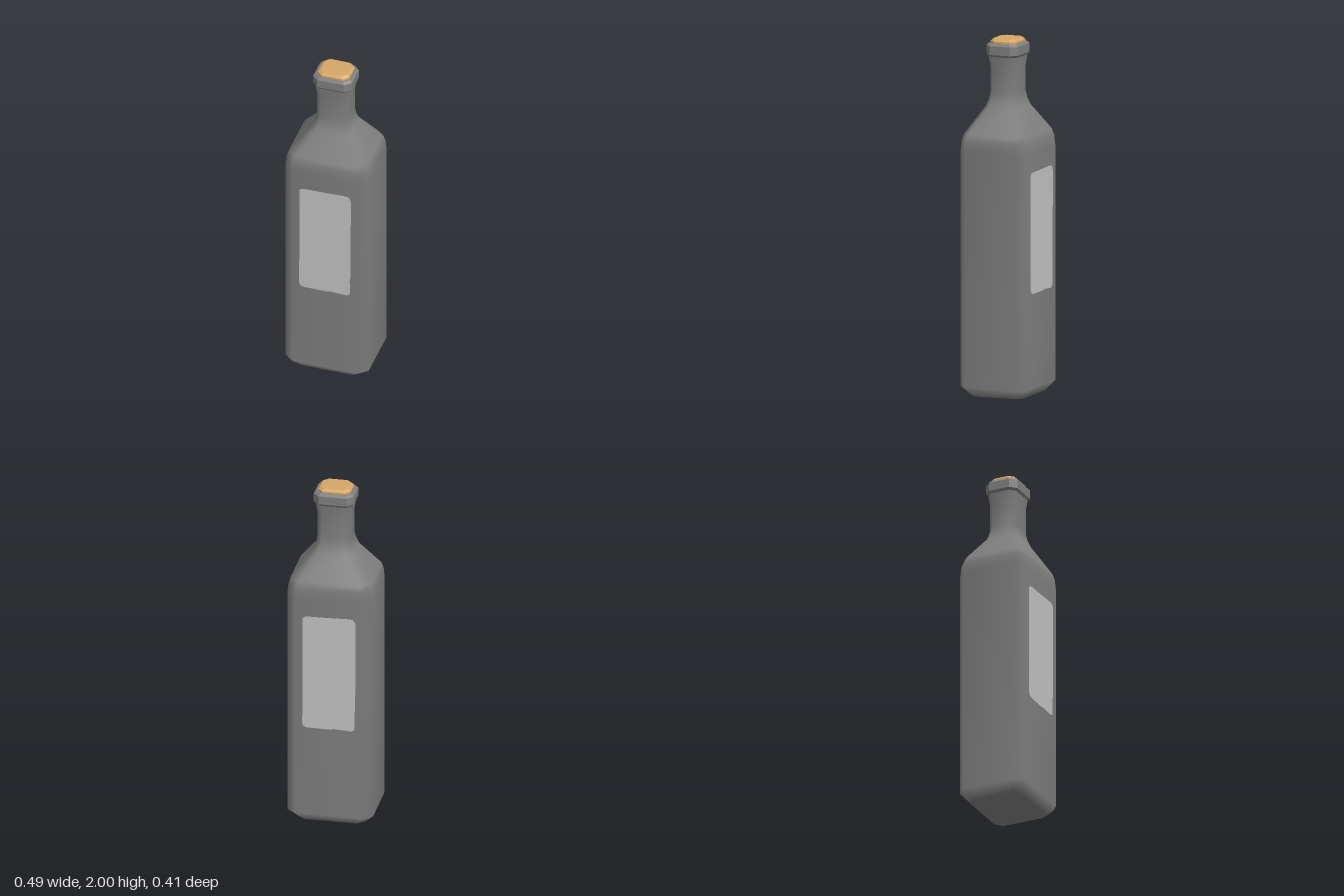
import * as THREE from 'three';

// Stacks chamfered rectangles [y, halfWidth, halfDepth, chamferX, chamferZ] into a closed solid
function loft(sections, flat) {
  const pos = [], index = [], n = 8, last = sections.length - 1;
  for (const [y, w, d, cx, cz] of sections) {
    const ring = [[w - cx, d], [w, d - cz], [w, cz - d], [w - cx, -d],
      [cx - w, -d], [-w, cz - d], [-w, d - cz], [cx - w, d]];
    for (const [x, z] of ring) pos.push(x, y, z);
  }
  for (let i = 0; i < last; i++) {
    for (let j = 0; j < n; j++) {
      const a = i * n + j, b = i * n + (j + 1) % n;
      index.push(a, b, b + n, a, b + n, a + n);
    }
  }
  // End caps
  for (let j = 1; j < n - 1; j++) {
    index.push(0, j + 1, j);
    index.push(last * n, last * n + j, last * n + j + 1);
  }
  let geo = new THREE.BufferGeometry();
  geo.setAttribute('position', new THREE.Float32BufferAttribute(pos, 3));
  geo.setIndex(index);
  if (flat) geo = geo.toNonIndexed();
  geo.computeVertexNormals();
  return geo;
}

// Slightly uneven paper outline with rounded corners
function labelShape() {
  const s = new THREE.Shape();
  s.moveTo(-0.15, 0.62);
  s.quadraticCurveTo(-0.15, 0.59, -0.12, 0.588);
  s.lineTo(0.01, 0.586);
  s.lineTo(0.03, 0.592);
  s.lineTo(0.12, 0.586);
  s.quadraticCurveTo(0.147, 0.586, 0.147, 0.612);
  s.lineTo(0.146, 0.69);
  s.lineTo(0.15, 0.72);
  s.lineTo(0.153, 1.24);
  s.quadraticCurveTo(0.15, 1.273, 0.12, 1.275);
  s.lineTo(-0.03, 1.271);
  s.lineTo(-0.12, 1.27);
  s.quadraticCurveTo(-0.147, 1.268, -0.148, 1.25);
  s.lineTo(-0.147, 0.85);
  s.closePath();
  return s;
}

export function createModel() {
  const model = new THREE.Group();
  const material = (name, color) => {
    const m = new THREE.MeshStandardMaterial({ color });
    m.name = name;
    return m;
  };
  const glass = material('grey glass', 0x808080);
  const paper = material('pale paper', 0xc4c4c4);
  const corkTan = material('cork tan', 0xd6a767);
  const add = (name, geo, mat) => {
    const mesh = new THREE.Mesh(geo, mat);
    mesh.name = name;
    model.add(mesh);
    return mesh;
  };

  // Square-sided body, sloping shoulders and neck
  add('bottleBody', loft([
    [0, 0.19, 0.157, 0.04, 0.034],
    [0.055, 0.243, 0.203, 0.052, 0.043],
    [1.38, 0.243, 0.203, 0.052, 0.043],
    [1.44, 0.238, 0.198, 0.052, 0.043],
    [1.475, 0.228, 0.188, 0.052, 0.043],
    [1.62, 0.118, 0.099, 0.034, 0.03],
    [1.66, 0.102, 0.085, 0.03, 0.028],
    [1.70, 0.095, 0.078, 0.03, 0.028],
    [1.84, 0.095, 0.078, 0.03, 0.028],
    [1.90, 0.102, 0.086, 0.03, 0.028],
    [1.94, 0.102, 0.086, 0.03, 0.028],
  ]), glass);

  // Faceted lip around the mouth
  add('lip', loft([
    [1.902, 0.104, 0.088, 0.032, 0.032],
    [1.914, 0.114, 0.096, 0.035, 0.035],
    [1.963, 0.114, 0.096, 0.035, 0.035],
    [1.976, 0.102, 0.086, 0.033, 0.033],
  ], true), glass);

  // Stopper with a bevelled top
  add('cork', loft([
    [1.96, 0.093, 0.078, 0.03, 0.03],
    [1.987, 0.093, 0.078, 0.03, 0.03],
    [2.0, 0.078, 0.066, 0.025, 0.025],
  ], true), corkTan);

  // Matching labels on front and back
  const plate = new THREE.ExtrudeGeometry(labelShape(), { depth: 0.003, bevelEnabled: false, curveSegments: 5 });
  plate.translate(0, 0, 0.2015);
  add('frontLabel', plate, paper);
  add('backLabel', plate, paper).rotation.y = Math.PI;

  return model;
}
